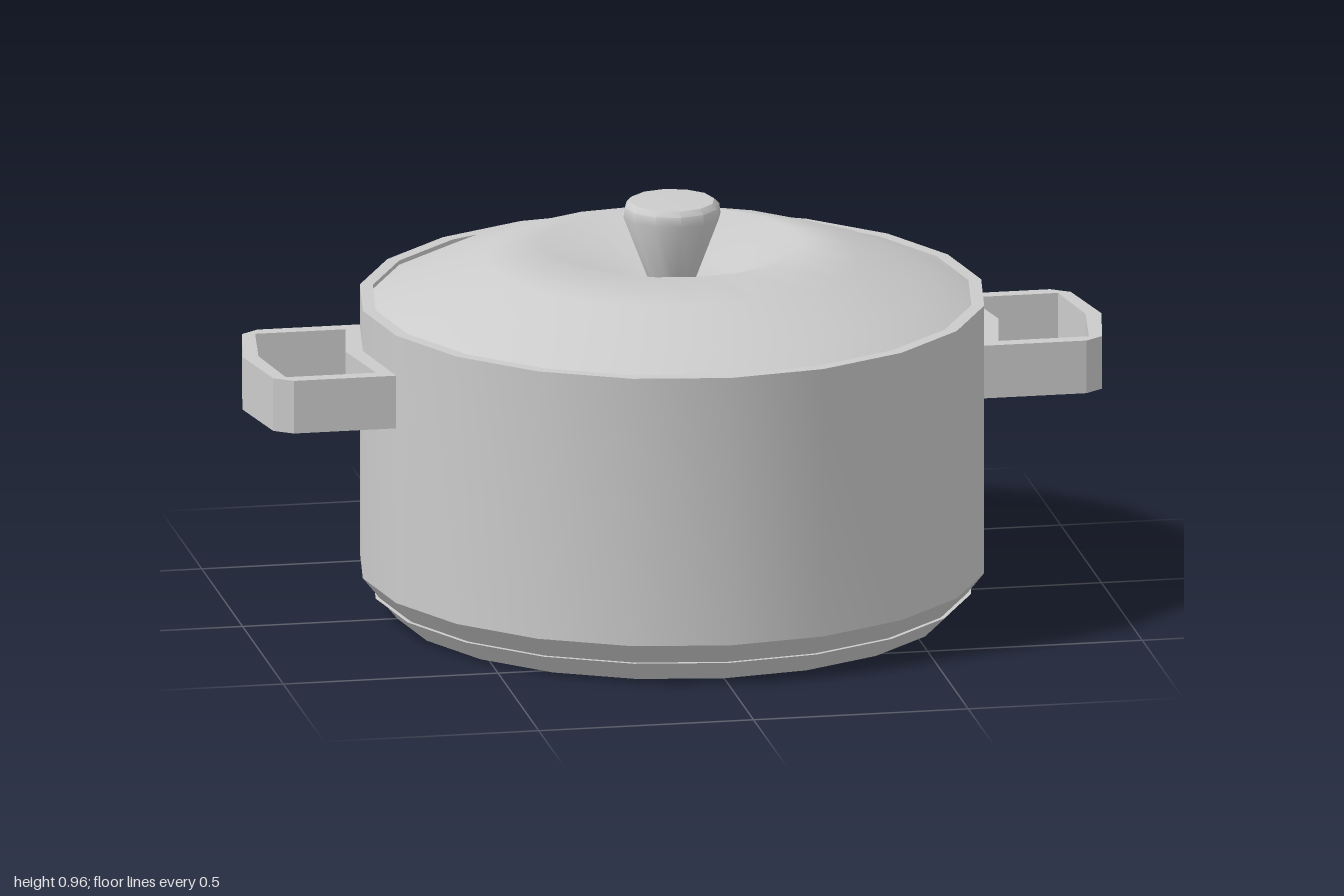
import * as THREE from 'three';
import { toCreasedNormals } from 'three/addons/utils/BufferGeometryUtils.js';

const material = new THREE.MeshStandardMaterial({ color: 0xcccccc });

function addMesh(parent, name, geometry) {
  const mesh = new THREE.Mesh(geometry, material);
  mesh.name = name;
  parent.add(mesh);
  return mesh;
}

// Revolve a list of [radius, height] pairs around the y axis
function lathe(profile, sides) {
  return new THREE.LatheGeometry(profile.map(([r, y]) => new THREE.Vector2(r, y)), sides);
}

// Outline from its +z half, mirrored across z = 0
function mirrored(half) {
  const other = half.filter(([, z]) => z > 0).reverse().map(([x, z]) => [x, -z]);
  return [...half, ...other].map(([x, z]) => new THREE.Vector2(x, z));
}

export function createModel() {
  const model = new THREE.Group();
  model.name = 'cookingPot';

  // Pot: bevelled foot, straight wall, narrow rim and hollow inside
  const pot = [[0, 0], [0.64, 0], [0.72, 0.1], [0.72, 0.735], [0.69, 0.735], [0.69, 0.05], [0, 0.05]];
  addMesh(model, 'pot', toCreasedNormals(lathe(pot, 20), 0.5));

  // Lid: shallow dome with a dished centre
  const lid = new THREE.Group();
  lid.name = 'lid';
  model.add(lid);
  const dome = [[0.69, 0.725], [0.6, 0.768], [0.43, 0.828], [0.3, 0.86], [0.15, 0.78], [0, 0.78]];
  addMesh(lid, 'lidDome', lathe(dome, 20));

  // Knob: flared stem with a bevelled cap
  const knob = [[0.055, 0.775], [0.113, 0.925], [0.11, 0.948], [0.098, 0.96], [0, 0.962]];
  addMesh(lid, 'lidKnob', toCreasedNormals(lathe(knob, 12), 0.75));

  // Side handles: flat angular loops, with the inner bar set against the wall
  const shape = new THREE.Shape(mirrored([[0.7, 0], [0.68, 0.223], [0.923, 0.223], [0.965, 0.192], [1, 0]]
    .reverse()));
  shape.holes.push(new THREE.Path(mirrored([[0.76, 0], [0.725, 0.188], [0.935, 0.188], [0.963, 0]])));
  const loop = new THREE.ExtrudeGeometry(shape, { depth: 0.125, bevelEnabled: false });
  loop.rotateX(-Math.PI / 2).translate(0, 0.515, 0);
  addMesh(model, 'leftHandle', loop);
  addMesh(model, 'rightHandle', loop).rotation.y = Math.PI;

  return model;
}
